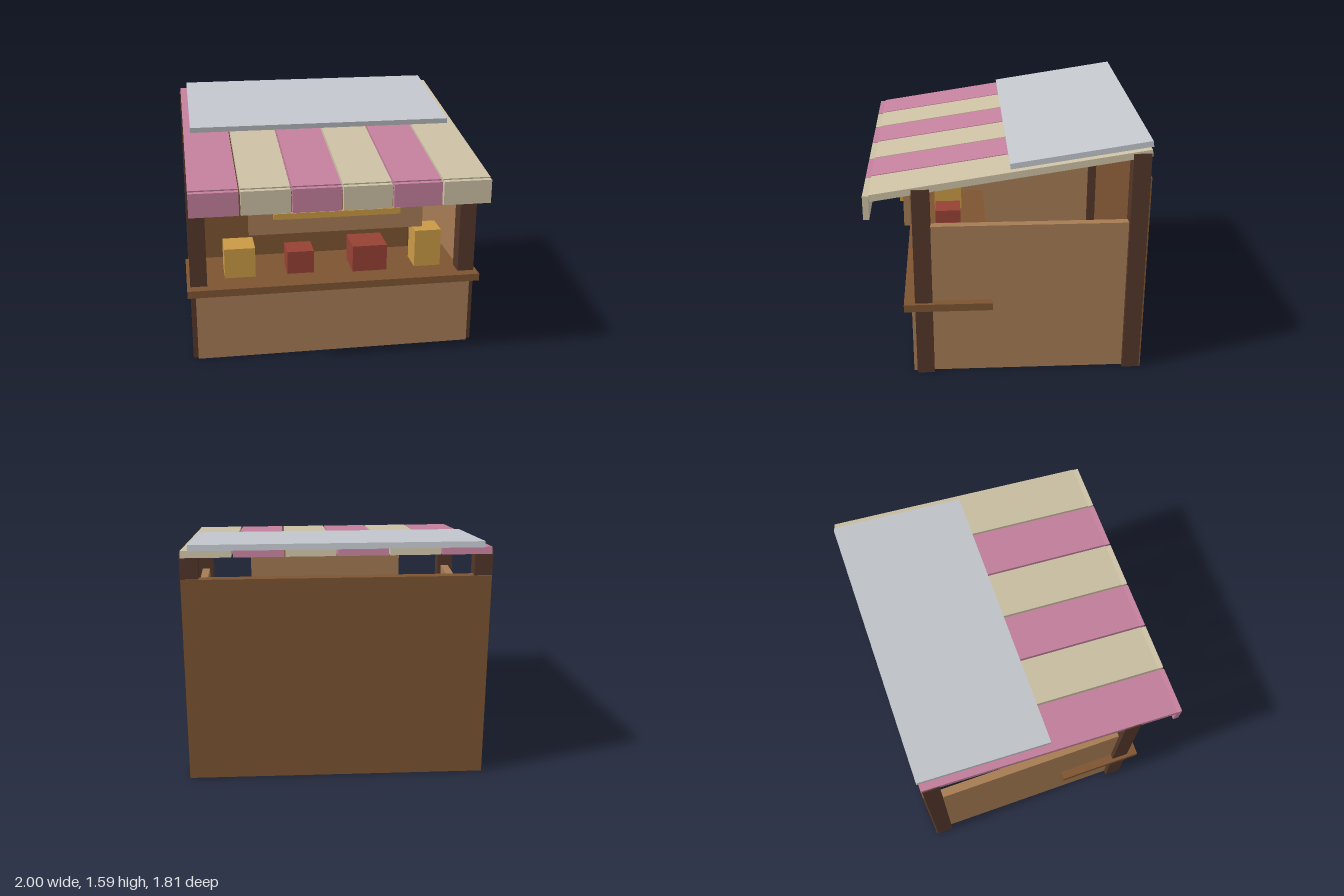
import * as THREE from 'three';

export function createModel() {
  const model = new THREE.Group();
  model.name = 'marketStall';

  const mat = (name, color) => {
    const m = new THREE.MeshStandardMaterial({ color });
    m.name = name;
    return m;
  };
  const lightWood = mat('lightWood', 0xa67c54);
  const midWood = mat('midWood', 0x7d5432);
  const darkWood = mat('darkWood', 0x54372a);
  const pink = mat('pinkCloth', 0xc4809d);
  const cream = mat('creamCloth', 0xccc1a4);
  const metal = mat('greyMetal', 0xc3c7cd);
  const gold = mat('gold', 0xca9a46);
  const red = mat('red', 0x964234);

  // Box given by its lower and upper bounds on each axis
  const block = (name, material, [x0, x1], [y0, y1], [z0, z1]) => {
    const mesh = new THREE.Mesh(new THREE.BoxGeometry(x1 - x0, y1 - y0, z1 - z0), material);
    mesh.position.set((x0 + x1) / 2, (y0 + y1) / 2, (z0 + z1) / 2);
    mesh.name = name;
    model.add(mesh);
    return mesh;
  };

  // Sloping slab, low at the front
  const slope = 0.15;
  const slab = (name, material, x, y, z, width, thickness, length) => {
    const mesh = new THREE.Mesh(new THREE.BoxGeometry(width, thickness, length), material);
    mesh.position.set(x, y, z);
    mesh.rotation.x = slope;
    mesh.name = name;
    model.add(mesh);
  };

  // Corner posts and side walls
  for (const [side, s] of [['left', 1], ['right', -1]]) {
    const span = (a, b) => (s > 0 ? [a, b] : [-b, -a]);
    block(side + 'FrontPost', darkWood, span(0.865, 0.978), [0, 1.32], [0.49, 0.603]);
    block(side + 'BackPost', darkWood, span(0.865, 0.978), [0, 1.53], [-0.883, -0.77]);
    block(side + 'Wall', lightWood, span(0.89, 0.945), [0, 1.055], [-0.8, 0.52]);
  }

  // Back wall, counter base and counter top
  block('backWall', midWood, [-0.975, 0.975], [0, 1.37], [-0.892, -0.835]);
  block('counterBase', lightWood, [-0.945, 0.945], [0, 0.48], [0.17, 0.626]);
  block('counterTop', midWood, [-1, 1], [0.476, 0.527], [0.1, 0.675]);

  // Hanging sign board with a plain bar
  block('signBoard', lightWood, [-0.58, 0.58], [0.9, 1.16], [0.63, 0.672]);
  block('signBar', gold, [-0.422, 0.422], [1.01, 1.05], [0.67, 0.703]);

  // Goods on the counter: x, width, height
  const goods = [
    [-0.635, 0.21, 0.21, gold], [-0.217, 0.185, 0.16, red],
    [0.262, 0.24, 0.185, red], [0.678, 0.185, 0.265, gold],
  ];
  goods.forEach(([x, w, h, m], i) => {
    block('goodsBox' + (i + 1), m, [x - w / 2, x + w / 2], [0.527, 0.527 + h], [0.385 - w / 2, 0.385 + w / 2]);
  });

  // Striped awning with a hanging valance
  for (let i = 0; i < 6; i++) {
    const x = (i - 2.5) * 0.3255;
    const cloth = i % 2 ? cream : pink;
    slab('awningStrip' + (i + 1), cloth, x, 1.4, -0.013, 0.314, 0.045, 1.77);
    block('valance' + (i + 1), cloth, [x - 0.157, x + 0.157], [1.125, 1.282], [0.865, 0.903]);
  }

  // Metal sheet on the back half of the roof
  slab('roofSheet', metal, 0, 1.508, -0.457, 1.845, 0.038, 0.895);

  return model;
}
